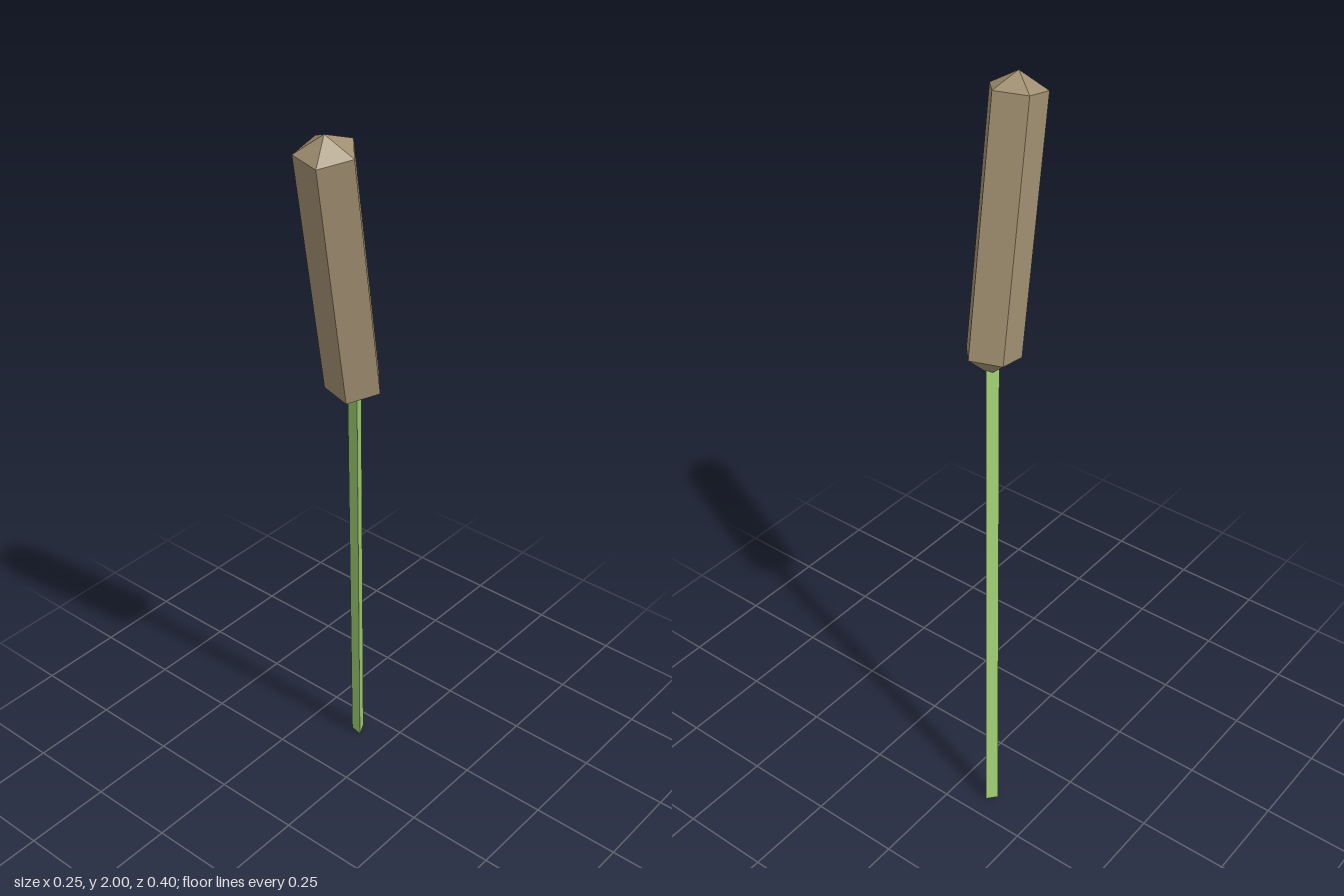
import * as THREE from 'three';

const UP = new THREE.Vector3(0, 1, 0);

// Stand a mesh modelled along +y between two points
function alignAlong(mesh, from, to) {
  mesh.position.copy(from);
  mesh.quaternion.setFromUnitVectors(UP, to.clone().sub(from).normalize());
  return mesh;
}

export function createModel() {
  const model = new THREE.Group();
  model.name = 'cattail';

  const green = new THREE.MeshStandardMaterial({ color: 0x9ccc70, flatShading: true });
  green.name = 'stem green';
  const brown = new THREE.MeshStandardMaterial({ color: 0xa08f71, flatShading: true });
  brown.name = 'seed head brown';

  // Three-sided leaning stem, ending inside the head
  const stemBase = new THREE.Vector3(-0.104, 0.003, -0.18);
  const stemTop = new THREE.Vector3(0.025, 1.31, -0.005);
  const stemLength = stemBase.distanceTo(stemTop);
  const stemGeometry = new THREE.CylinderGeometry(
    0.0197, 0.0197, stemLength, 3, 1, false, THREE.MathUtils.degToRad(52));
  stemGeometry.translate(0, stemLength / 2, 0);
  const stem = alignAlong(new THREE.Mesh(stemGeometry, green), stemBase, stemTop);
  stem.name = 'stem';
  model.add(stem);

  // Five-sided seed head with a shallow point at each end
  const headBase = new THREE.Vector3(0.029, 1.32, 0.001);
  const headTop = new THREE.Vector3(0.0535, 1.96, 0.129);
  const headLength = headBase.distanceTo(headTop);
  const radius = 0.0745;
  const profile = [
    new THREE.Vector2(0, -0.049),
    new THREE.Vector2(radius, 0),
    new THREE.Vector2(radius, headLength),
    new THREE.Vector2(0, headLength + 0.042),
  ];
  const headGeometry = new THREE.LatheGeometry(profile, 5, THREE.MathUtils.degToRad(23));
  const head = alignAlong(new THREE.Mesh(headGeometry, brown), headBase, headTop);
  head.name = 'seedHead';
  model.add(head);

  return model;
}
